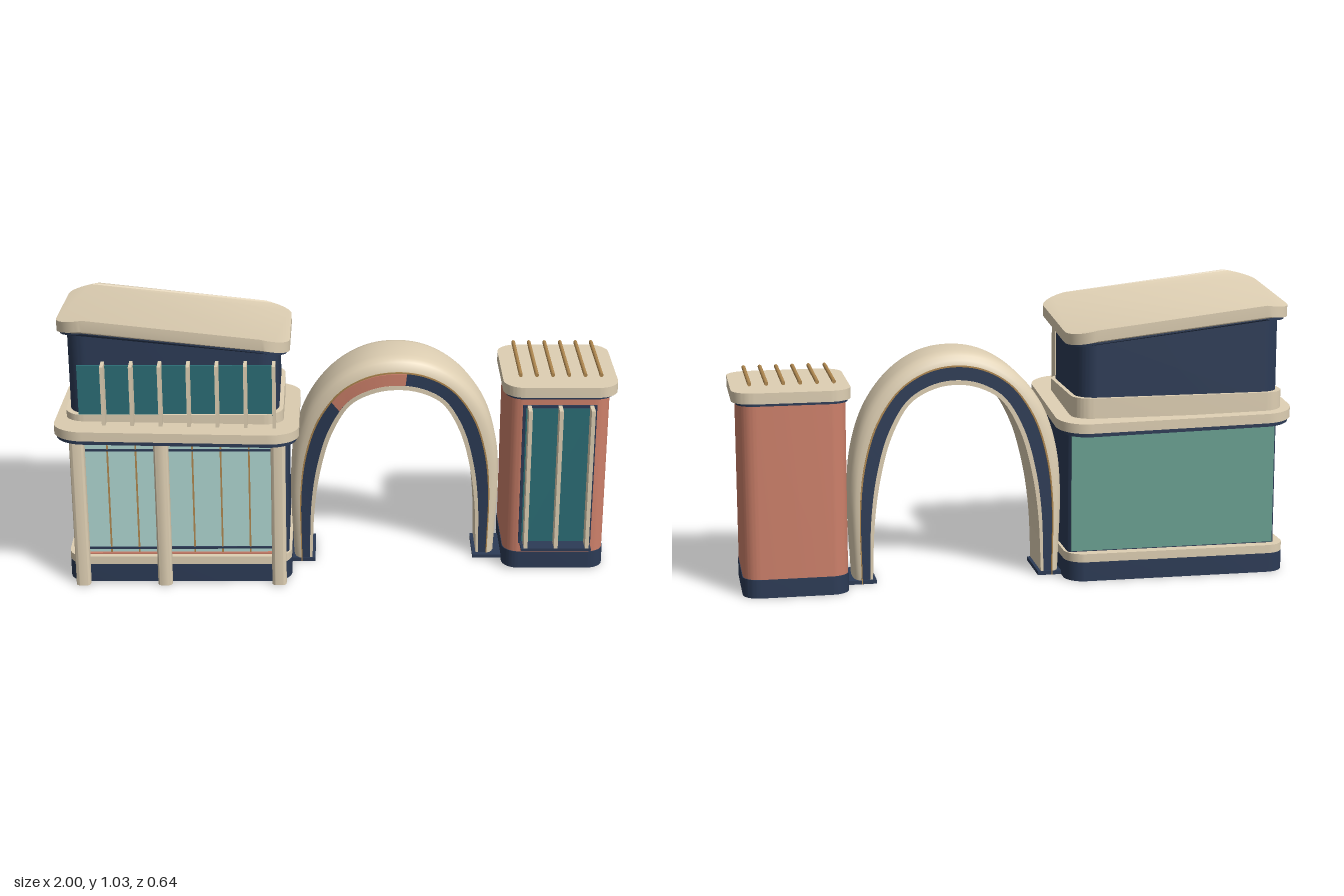
import * as THREE from 'three';
import { toCreasedNormals } from 'three/addons/utils/BufferGeometryUtils.js';

const mat = (name, color) => {
  const m = new THREE.MeshStandardMaterial({ color });
  m.name = name;
  return m;
};

export function createModel() {
  const cream = mat('cream', 0xdecfb3);
  const navy = mat('navy', 0x2c3b56);
  const terracotta = mat('terracotta', 0xcd806a);
  const teal = mat('dark teal glass', 0x2b6d75);
  const glass = mat('pale glass', 0xafd7d2);
  const green = mat('green panel', 0x69a091);
  const brass = mat('brass', 0xb08850);

  const model = new THREE.Group();
  const group = (name) => {
    const g = new THREE.Group();
    g.name = name;
    model.add(g);
    return g;
  };
  const add = (parent, name, geometry, material) => {
    const m = new THREE.Mesh(geometry, material);
    m.name = name;
    parent.add(m);
    return m;
  };

  // Box given by its limits
  const box = (parent, name, material, x0, x1, y0, y1, z0, z1) => {
    const g = new THREE.BoxGeometry(x1 - x0, y1 - y0, z1 - z0);
    g.translate((x0 + x1) / 2, (y0 + y1) / 2, (z0 + z1) / 2);
    return add(parent, name, g, material);
  };

  // Upright prism with rounded corners; warp(x, y, z) may return a new height
  const prism = (parent, name, material, x0, x1, y0, y1, z0, z1, r, warp) => {
    const s = new THREE.Shape();
    s.moveTo(x0 + r, -z1);
    s.lineTo(x1 - r, -z1);
    s.absarc(x1 - r, -z1 + r, r, -Math.PI / 2, 0);
    s.lineTo(x1, -z0 - r);
    s.absarc(x1 - r, -z0 - r, r, 0, Math.PI / 2);
    s.lineTo(x0 + r, -z0);
    s.absarc(x0 + r, -z0 - r, r, Math.PI / 2, Math.PI);
    s.lineTo(x0, -z1 + r);
    s.absarc(x0 + r, -z1 + r, r, Math.PI, Math.PI * 1.5);
    const g = new THREE.ExtrudeGeometry(s, { depth: y1 - y0, bevelEnabled: false, curveSegments: 8 });
    g.rotateX(-Math.PI / 2);
    g.translate(0, y0, 0);
    if (warp) {
      const p = g.attributes.position;
      for (let i = 0; i < p.count; i++) p.setY(i, warp(p.getX(i), p.getY(i), p.getZ(i)));
    }
    return add(parent, name, toCreasedNormals(g, 0.6), material);
  };

  // ---- Main building ----
  const hall = group('mainBuilding');
  prism(hall, 'base', navy, -0.98, -0.17, 0, 0.07, -0.289, 0.185, 0.07);
  prism(hall, 'ledge', cream, -0.98, -0.17, 0.07, 0.1, -0.289, 0.185, 0.07);
  prism(hall, 'lowerWalls', navy, -0.945, -0.18, 0.1, 0.57, -0.25, 0.148, 0.015);
  box(hall, 'backPanel', green, -0.935, -0.19, 0.105, 0.54, -0.258, -0.25);
  box(hall, 'shopWindow', glass, -0.91, -0.225, 0.105, 0.545, 0.148, 0.155);
  box(hall, 'windowSill', terracotta, -0.91, -0.225, 0.095, 0.106, 0.15, 0.165);
  for (const y of [0.123, 0.51]) box(hall, 'windowRail', navy, -0.91, -0.225, y - 0.004, y + 0.004, 0.15, 0.16);
  for (const x of [-0.915, -0.22]) box(hall, 'windowJamb', navy, x - 0.005, x + 0.005, 0.1, 0.55, 0.147, 0.162);
  for (let i = 0; i < 6; i++) {
    const x = -0.825 + i * 0.101;
    box(hall, 'windowMullion', brass, x - 0.003, x + 0.003, 0.105, 0.545, 0.15, 0.159);
  }
  for (const x of [-0.927, -0.63, -0.215])
    prism(hall, 'column', cream, x - 0.026, x + 0.026, 0, 0.575, 0.165, 0.218, 0.015);

  // Tilted canopy, higher at the front
  const canopyY = (x, y, z) => y + 0.09 * z - 0.02 * (x + 0.57);
  prism(hall, 'canopyUnderside', navy, -0.992, -0.148, 0.565, 0.582, -0.312, 0.312, 0.105, canopyY);
  prism(hall, 'canopy', cream, -1, -0.14, 0.58, 0.614, -0.32, 0.32, 0.11, canopyY);
  prism(hall, 'upperCurb', cream, -0.965, -0.195, 0.59, 0.662, -0.28, 0.195, 0.07);

  // Upper storey under a roof that slopes two ways, with both ends turned down
  const roofY = (x, z) =>
    1.035 - 0.115 * (x + 0.88) + 0.1 * (z - 0.25) -
    0.28 * Math.max(0, -0.88 - x) - 0.14 * Math.max(0, x + 0.27);
  prism(hall, 'upperWalls', navy, -0.95, -0.21, 0.64, 1, -0.265, 0.18, 0.07,
    (x, y, z) => (y > 0.8 ? roofY(x, z) - 0.045 : y));
  prism(hall, 'roofUnderside', navy, -0.97, -0.18, -0.052, -0.036, -0.3, 0.24, 0.1,
    (x, y, z) => roofY(x, z) + y);
  prism(hall, 'roof', cream, -0.98, -0.17, -0.039, 0, -0.31, 0.25, 0.1,
    (x, y, z) => roofY(x, z) + y);
  box(hall, 'upperWindow', teal, -0.915, -0.225, 0.655, 0.845, 0.179, 0.188);
  for (let i = 0; i < 7; i++) {
    const x = -0.823 + i * 0.0995;
    box(hall, 'upperFin', cream, x - 0.006, x + 0.006, 0.63, 0.86, 0.182, 0.24);
  }

  // ---- Tower ----
  const tower = group('tower');
  prism(tower, 'towerBase', navy, 0.605, 0.977, 0, 0.066, -0.29, 0.082, 0.06);
  prism(tower, 'towerBody', terracotta, 0.607, 0.975, 0.066, 0.685, -0.288, 0.08, 0.06);
  prism(tower, 'towerTrim', navy, 0.6, 0.985, 0.682, 0.694, -0.308, 0.105, 0.065);
  prism(tower, 'towerCap', cream, 0.59, 1, 0.692, 0.73, -0.318, 0.115, 0.075);
  box(tower, 'towerWindowFrame', navy, 0.66, 0.925, 0.103, 0.65, 0.078, 0.086);
  box(tower, 'towerWindow', teal, 0.67, 0.915, 0.115, 0.64, 0.08, 0.094);
  box(tower, 'towerWindowSill', navy, 0.665, 0.92, 0.102, 0.112, 0.08, 0.15);
  for (const x of [0.682, 0.792, 0.905])
    box(tower, 'towerFin', cream, x - 0.007, x + 0.007, 0.112, 0.653, 0.09, 0.148);
  for (let i = 0; i < 6; i++) {
    const g = new THREE.CylinderGeometry(0.007, 0.007, 0.335, 10);
    g.rotateX(Math.PI / 2);
    g.translate(0.65 + i * 0.0576, 0.755, -0.112);
    add(tower, 'roofSlat', g, brass);
  }

  // ---- Arch ----
  const arch = group('arch');
  const cx = 0.208;
  const archCurve = (half) => {
    const left = half.map(([d, y]) => new THREE.Vector3(cx - d, y, 0));
    const right = half.slice(0, -1).reverse().map(([d, y]) => new THREE.Vector3(cx + d, y, 0));
    return new THREE.CatmullRomCurve3([...left, ...right]);
  };
  const outer = archCurve([[0.372, 0], [0.383, 0.32], [0.366, 0.48], [0.316, 0.62], [0.225, 0.735], [0.115, 0.803], [0, 0.823]]);
  const inner = archCurve([[0.305, 0], [0.295, 0.22], [0.272, 0.38], [0.23, 0.53], [0.163, 0.645], [0.08, 0.693], [0, 0.706]]);
  const front = (t) => 0.005 + 0.073 * Math.sin(Math.PI * t) ** 2 + 0.04 * (0.5 - t);
  const back = (t) => -0.18 + 0.012 * Math.sin(Math.PI * t);

  // Loft along the arch; section points are [fraction from inner to outer, front?, inset]
  const archLayer = (name, material, section, t0 = 0, t1 = 1, steps = 64) => {
    const pos = [];
    const index = [];
    const n = section.length;
    for (let i = 0; i <= steps; i++) {
      const t = t0 + ((t1 - t0) * i) / steps;
      const a = inner.getPoint(t);
      const b = outer.getPoint(t);
      for (const [f, isFront, inset] of section) {
        const p = a.clone().lerp(b, f);
        pos.push(p.x, p.y, isFront ? front(t) - inset : back(t) + inset);
      }
    }
    for (let i = 0; i < steps; i++)
      for (let j = 0; j < n; j++) {
        const k = (j + 1) % n;
        const a = i * n + j, b = i * n + k, c = a + n, d = b + n;
        index.push(a, b, c, b, d, c);
      }
    for (let j = 1; j < n - 1; j++) {
      const e = steps * n;
      index.push(0, j + 1, j, e, e + j, e + j + 1);
    }
    const g = new THREE.BufferGeometry();
    g.setAttribute('position', new THREE.Float32BufferAttribute(pos, 3));
    g.setIndex(index);
    return add(arch, name, toCreasedNormals(g, 0.6), material);
  };
  const band = (f0, f1, inset) => [[f0, 1, inset], [f0, 0, inset], [f1, 0, inset], [f1, 1, inset]];

  const roll = [[0.58, 0], [0.74, 0.004], [0.88, 0.016], [0.96, 0.032], [1, 0.058]];
  archLayer('archShell', cream, [
    ...roll.map(([f, s]) => [f, 0, s]),
    ...[...roll].reverse().map(([f, s]) => [f, 1, s]),
  ]);
  archLayer('archTrim', brass, band(0.55, 0.6, -0.002));
  archLayer('archCore', navy, band(0.12, 0.57, 0.006));
  archLayer('archSoffit', cream, band(0, 0.14, 0.004));
  archLayer('archAccent', terracotta,
    [[0.16, 1, -0.001], [0.16, 1, 0.008], [0.53, 1, 0.008], [0.53, 1, -0.001]], 0.3, 0.53, 20);
  for (const [x0, x1, z1] of [[-0.19, -0.085, 0.025], [0.5, 0.605, 0]])
    box(arch, 'archFoot', navy, x0, x1, 0, 0.014, -0.18, z1);

  return model;
}
